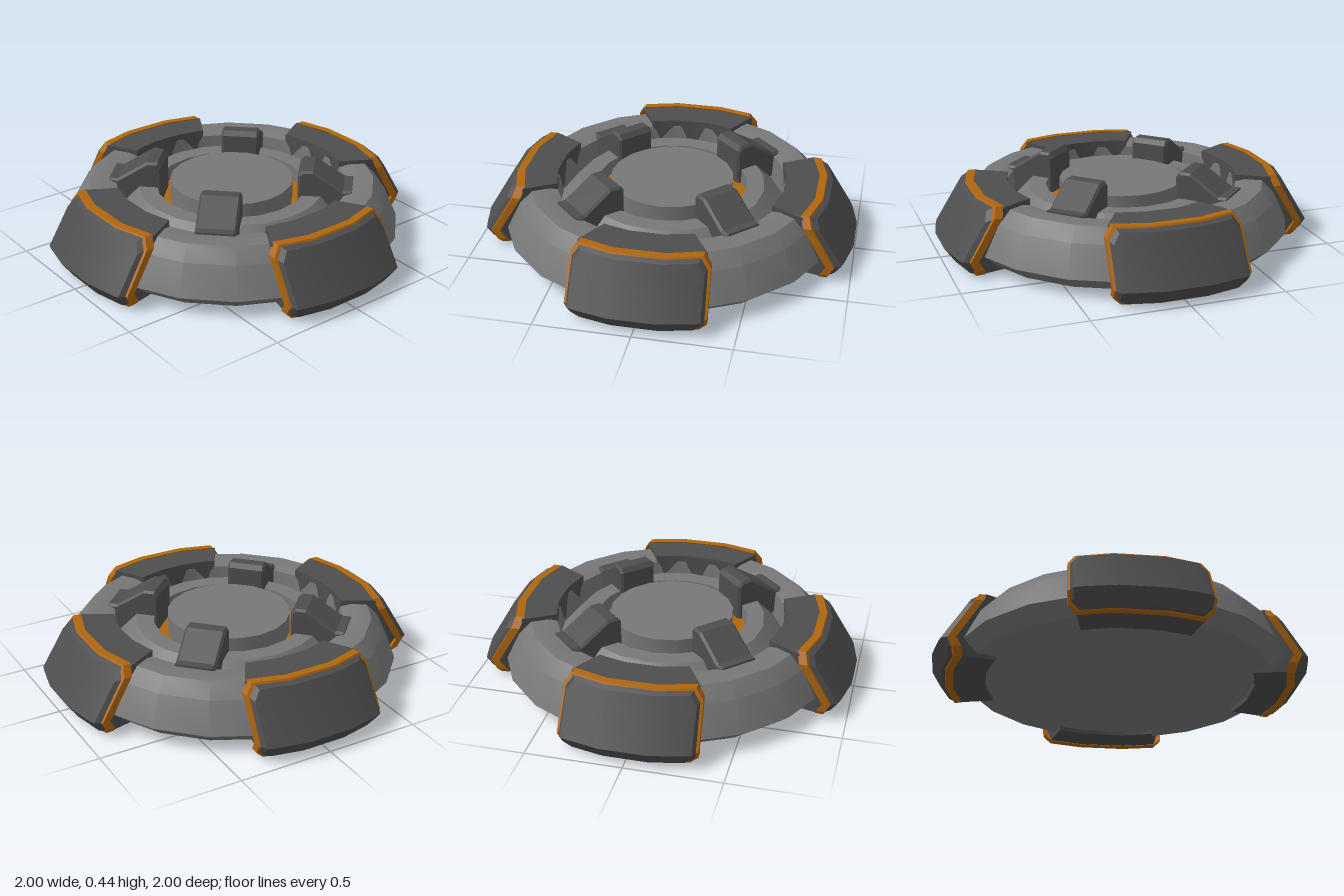
import * as THREE from 'three';
import { toCreasedNormals } from 'three/addons/utils/BufferGeometryUtils.js';

const SIDES = 20;
const grey = new THREE.MeshStandardMaterial({ color: 0x777777 });
const dark = new THREE.MeshStandardMaterial({ color: 0x4e4e4e });
const orange = new THREE.MeshStandardMaterial({ color: 0xb0660f });

function makeMesh(name, geometry, material) {
  const mesh = new THREE.Mesh(toCreasedNormals(geometry, 0.4), material);
  mesh.name = name;
  return mesh;
}

function lathe(name, profile, material) {
  const points = profile.map(([r, y]) => new THREE.Vector2(r, y));
  return makeMesh(name, new THREE.LatheGeometry(points, SIDES), material);
}

// Sweeps a closed section of [radius, height, halfWidth] around the y axis.
// sectionAt(end) gives the section; end is true at the two outermost stations.
function sweep(sectionAt) {
  const stations = [-1, -0.89, -0.36, 0.36, 0.89, 1];
  const pos = [], index = [];
  const n = sectionAt(false).length;
  for (const u of stations) {
    for (const [r, y, w] of sectionAt(Math.abs(u) === 1)) {
      const a = u * Math.asin(w / r);
      pos.push(r * Math.sin(a), y, r * Math.cos(a));
    }
  }
  for (let i = 0; i < stations.length - 1; i++) {
    for (let j = 0; j < n; j++) {
      const k = (j + 1) % n;
      const a = i * n + j, b = a + n, c = i * n + k, d = c + n;
      index.push(a, b, c, b, d, c);
    }
  }
  // end caps
  const outline = sectionAt(true).map(([r, y]) => new THREE.Vector2(r, y));
  const last = (stations.length - 1) * n;
  for (const [a, b, c] of THREE.ShapeUtils.triangulateShape(outline, [])) {
    index.push(a, b, c, last + a, last + c, last + b);
  }
  const geometry = new THREE.BufferGeometry();
  geometry.setAttribute('position', new THREE.Float32BufferAttribute(pos, 3));
  geometry.setIndex(index);
  return geometry;
}

// Bent plate between two [bottom, middle, top] lines, with its corners cut off
function plate(inner, outer) {
  const mix = (a, b, t) => a.map((v, i) => v + (b[i] - v) * t);
  const cut = ([bottom, middle, top]) => [mix(bottom, middle, 0.45), middle, mix(top, middle, 0.2)];
  return sweep((end) => {
    const [a, b] = end ? [cut(inner), cut(outer)] : [inner, outer];
    return [a[0], b[0], b[1], b[2], a[2], a[1]];
  });
}

function createPad() {
  const pad = new THREE.Group();
  pad.name = 'armourPad';
  const clamp = [
    [0.72, 0.008, 0.27], [0.9, 0.006, 0.31], [0.945, 0.09, 0.335], [0.8, 0.352, 0.325],
    [0.615, 0.352, 0.23], [0.615, 0.2, 0.23], [0.72, 0.2, 0.27],
  ];
  const back = [[0.89, 0.003, 0.345], [0.94, 0.09, 0.354], [0.79, 0.358, 0.346]];
  const middle = [[0.93, 0, 0.345], [0.98, 0.09, 0.356], [0.83, 0.358, 0.348]];
  const seat = [[0.925, 0.004, 0.335], [0.975, 0.09, 0.347], [0.828, 0.352, 0.338]];
  const front = [[0.95, 0.012, 0.318], [1.005, 0.09, 0.33], [0.86, 0.336, 0.325]];
  pad.add(makeMesh('padClamp', sweep(() => clamp), dark));
  pad.add(makeMesh('padTrim', plate(back, middle), orange));
  pad.add(makeMesh('padCover', plate(seat, front), dark));
  return pad;
}

function createBracket() {
  const b = 0.012, width = 0.21;
  const shape = new THREE.Shape([
    [0.375, 0.2], [0.375, 0.41], [0.39, 0.428], [0.44, 0.428],
    [0.6, 0.325], [0.638, 0.325], [0.638, 0.2],
  ].map(([x, y]) => new THREE.Vector2(x, y)));
  const geometry = new THREE.ExtrudeGeometry(shape, {
    depth: width - 2 * b, bevelSize: b, bevelThickness: b, bevelSegments: 1,
  });
  geometry.translate(0, 0, b - width / 2);
  return makeMesh('bracket', geometry, dark);
}

export function createModel() {
  const model = new THREE.Group();
  model.name = 'roundDevice';

  // outer ring, channel and raised inner ring
  model.add(lathe('body', [
    [0, 0.03], [0.82, 0.03], [0.9, 0.1], [0.83, 0.26], [0.765, 0.33], [0.67, 0.33],
    [0.62, 0.315], [0.61, 0.18], [0.5, 0.3], [0.405, 0.3], [0.405, 0.22],
  ], grey));
  model.add(lathe('glowRing', [[0.41, 0.22], [0.32, 0.22]], orange));
  model.add(lathe('centreDisc', [[0.33, 0.2], [0.33, 0.335], [0, 0.335]], grey));

  // four pads on the axes, four brackets on the diagonals
  for (let i = 0; i < 4; i++) {
    const pad = createPad();
    pad.rotation.y = i * Math.PI / 2;
    const bracket = createBracket();
    bracket.rotation.y = (i + 0.5) * Math.PI / 2;
    model.add(pad, bracket);
  }
  return model;
}
